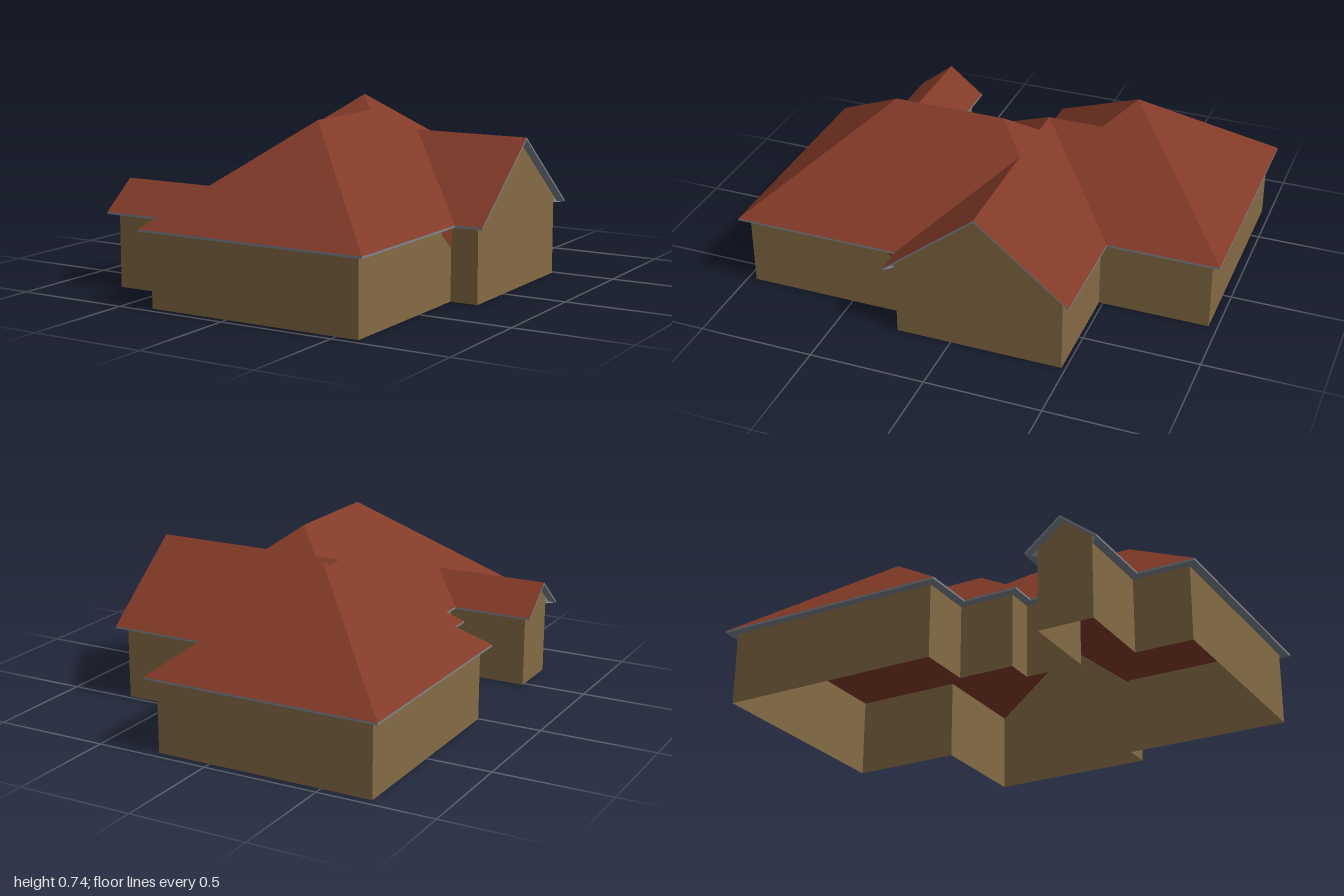
import * as THREE from 'three';

const EAVE = 0.325, PITCH = 0.8, THICK = 0.009, OVERHANG = 0.037;

const material = (name, color) => {
  const m = new THREE.MeshStandardMaterial({ color, side: THREE.DoubleSide });
  m.name = name;
  return m;
};

// Flat-shaded mesh from convex polygons of [x, y, z] corners
function polygonMesh(name, polygons, mat) {
  const pos = [];
  for (const p of polygons)
    for (let i = 1; i < p.length - 1; i++) pos.push(...p[0], ...p[i], ...p[i + 1]);
  const g = new THREE.BufferGeometry();
  g.setAttribute('position', new THREE.Float32BufferAttribute(pos, 3));
  g.computeVertexNormals();
  const mesh = new THREE.Mesh(g, mat);
  mesh.name = name;
  return mesh;
}

// Splits a plan polygon [x, z, distance from eave] into upward facing roof triangles
function roofTriangles(plan) {
  const flat = plan.map(([x, z]) => new THREE.Vector2(x, z));
  return THREE.ShapeUtils.triangulateShape(flat, []).map((t) => {
    const [a, b, c] = t.map((i) => flat[i]);
    const turn = (b.x - a.x) * (c.y - a.y) - (b.y - a.y) * (c.x - a.x);
    const order = turn > 0 ? [t[0], t[2], t[1]] : t;
    return order.map((i) => [plan[i][0], EAVE + PITCH * (plan[i][2] || 0), plan[i][1]]);
  });
}

export function createModel() {
  const house = new THREE.Group();
  house.name = 'house';
  const tile = material('roof tile', 0x823a28);
  const wall = material('tan wall', 0x846a45);
  const trim = material('grey trim', 0x80868e);

  // Eave outline in plan [x, z]
  const R = [
    [-0.757, -1], [0.275, -1], [0.275, -0.52], [0.757, -0.52],
    [0.757, 0.275], [0.635, 0.275], [0.635, 1], [-0.4, 1],
    [-0.4, 0.755], [-0.757, 0.755], [-0.757, 0.445], [-0.4, 0.445],
    [-0.4, 0.275], [-0.52, 0.275], [-0.52, 0.035], [-0.757, 0.035],
  ];
  const n = R.length;

  // Ridge points [x, z, distance from eave]
  const rearPeak = [-0.241, -0.483, 0.517];
  const frontPeak = [0.1175, 0.4825, 0.5175], backPeak = [0.1175, -0.005, 0.5175];
  const gableEnd = [0.757, -0.1225, 0.3975];
  const valleyRight = [0.2375, -0.1225, 0.3975], valleyLeft = [-0.0025, -0.1225, 0.3975];
  const linkFront = [-0.1225, -0.1225, 0.3975], linkBack = [-0.1225, -0.3625, 0.3975];
  const wingEnd = [-0.757, 0.6, 0.155], wingTop = [-0.245, 0.6, 0.155];

  const slopes = {
    rearRoof: [
      [R[0], R[1], rearPeak], [R[15], R[0], rearPeak],
      [R[15], rearPeak, linkBack, R[14]],
      [R[1], R[2], linkFront, linkBack, rearPeak],
    ],
    linkRoof: [
      [R[14], linkBack, linkFront, R[13]],
      [R[13], linkFront, valleyLeft, R[12]],
    ],
    sideGableRoof: [
      [R[2], R[3], gableEnd, valleyRight, backPeak, valleyLeft, linkFront],
      [gableEnd, R[4], R[5], valleyRight],
    ],
    frontRoof: [
      [R[5], R[6], frontPeak, backPeak, valleyRight],
      [R[6], R[7], frontPeak],
      [R[7], R[8], wingTop, R[11], R[12], valleyLeft, backPeak, frontPeak],
    ],
    wingRoof: [[R[8], R[9], wingEnd, wingTop], [R[10], R[11], wingTop, wingEnd]],
  };
  for (const [name, list] of Object.entries(slopes))
    house.add(polygonMesh(name, list.flatMap(roofTriangles), tile));

  // Wall line: the eave outline moved inward by the overhang
  const inward = R.map(([x, z], i) => {
    const [bx, bz] = R[(i + 1) % n];
    return [-Math.sign(bz - z), Math.sign(bx - x)];
  });
  const W = R.map(([x, z], i) => {
    const a = inward[i], b = inward[(i + n - 1) % n];
    return [x + OVERHANG * (a[0] + b[0]), z + OVERHANG * (a[1] + b[1])];
  });

  const walls = [], fascia = [], soffit = [];
  const gables = { 3: gableEnd, 9: wingEnd };
  const low = EAVE - THICK, wallTop = EAVE + PITCH * OVERHANG - 0.006;
  for (let i = 0; i < n; i++) {
    const j = (i + 1) % n;
    const [a, b, wa, wb] = [R[i], R[j], W[i], W[j]];
    const at = (p, y) => [p[0], y, p[1]];
    const ridge = gables[i];
    if (!ridge) {
      walls.push([at(wa, 0), at(wa, wallTop), at(wb, wallTop), at(wb, 0)]);
      fascia.push([at(a, low), at(a, EAVE), at(b, EAVE), at(b, low)]);
      soffit.push([at(a, low), at(b, low), at(wb, low), at(wa, low)]);
      continue;
    }
    // Gable end: pointed wall, sloping verge boards and small eave returns
    const top = EAVE + PITCH * ridge[2], wx = wa[0];
    walls.push([at(wa, 0), at(wa, wallTop), [wx, top - 0.006, ridge[1]], at(wb, wallTop), at(wb, 0)]);
    for (const [e, w] of [[a, wa], [b, wb]]) {
      fascia.push([at(e, low), at(e, EAVE), at(ridge, top), at(ridge, top - THICK)]);
      soffit.push([at(e, low), at(ridge, top - THICK), [wx, top - THICK, ridge[1]], [wx, low, e[1]]]);
      soffit.push([[wx, low, e[1]], at(w, low), at(w, wallTop)]);
    }
  }
  house.add(polygonMesh('walls', walls, wall));
  house.add(polygonMesh('fascia', fascia, trim));
  house.add(polygonMesh('soffit', soffit, trim));

  // Small tile-coloured patch on the wall beside the inner corner
  const patch = [[0.24, 0.22], [0.24, 0.315], [0.335, 0.315], [0.32, 0.285], [0.285, 0.28], [0.27, 0.25]];
  house.add(polygonMesh('wallPatch', [patch.map(([z, y]) => [0.602, y, z])], tile));

  return house;
}
